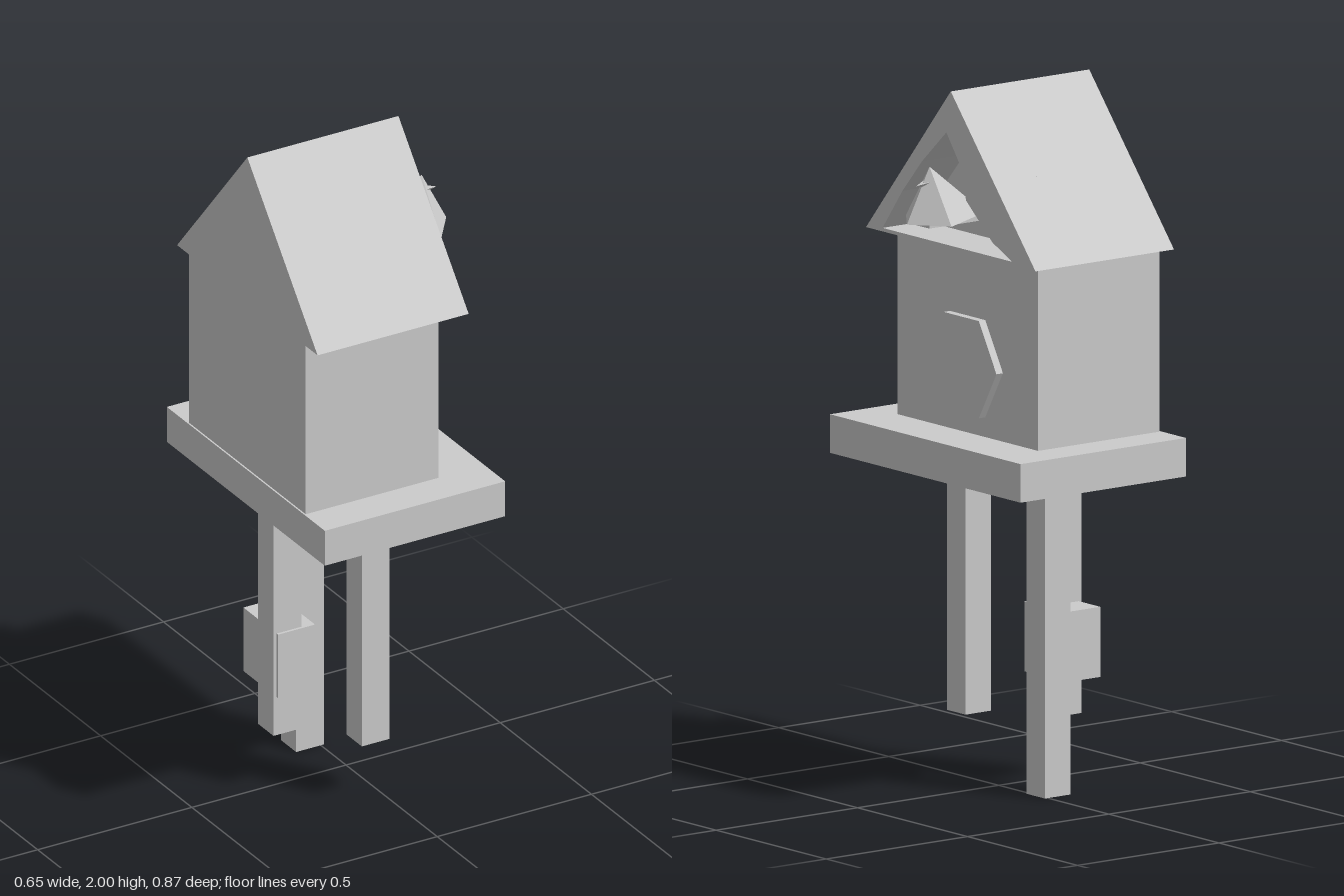
import * as THREE from 'three';
import { ConvexGeometry } from 'three/addons/geometries/ConvexGeometry.js';

const material = new THREE.MeshStandardMaterial({ color: 0xcccccc, flatShading: true, side: THREE.DoubleSide });

function add(parent, name, geometry) {
  const mesh = new THREE.Mesh(geometry, material);
  mesh.name = name;
  parent.add(mesh);
  return mesh;
}

// Box given by its extents on each axis
function box(parent, name, [x0, x1], [y0, y1], [z0, z1]) {
  const mesh = add(parent, name, new THREE.BoxGeometry(x1 - x0, y1 - y0, z1 - z0));
  mesh.position.set((x0 + x1) / 2, (y0 + y1) / 2, (z0 + z1) / 2);
}

// Profile drawn as seen from +x (horizontal = -z), extruded from x0 to x1
function gable(parent, name, outline, x0, x1, hole) {
  const toPoints = (list) => list.map(([s, y]) => new THREE.Vector2(s, y));
  const shape = new THREE.Shape(toPoints(outline));
  if (hole) shape.holes.push(new THREE.Path(toPoints(hole)));
  const geometry = new THREE.ExtrudeGeometry(shape, { depth: x1 - x0, bevelEnabled: false });
  geometry.rotateY(Math.PI / 2).translate(x0, 0, 0);
  add(parent, name, geometry);
}

const solid = (points) => new ConvexGeometry(points.map((p) => new THREE.Vector3(...p)));

export function createModel() {
  const model = new THREE.Group();
  model.name = 'cuckooClock';

  // Base slab and house body
  box(model, 'base', [-0.325, 0.26], [0.91, 1.02], [-0.433, 0.433]);
  box(model, 'body', [-0.32, 0.11], [1.02, 1.55], [-0.32, 0.32]);

  // Roof with a ragged opening in its gable
  const roof = new THREE.Group();
  roof.name = 'roof';
  model.add(roof);
  const triangle = [[-0.385, 1.55], [0.385, 1.55], [0, 2]];
  const opening = [
    [-0.31, 1.56], [-0.22, 1.68], [-0.13, 1.78], [-0.02, 1.88],
    [0.04, 1.8], [0.07, 1.7], [0.19, 1.6], [0.28, 1.56],
  ];
  gable(roof, 'roofBack', triangle, -0.32, 0.02);
  gable(roof, 'roofFront', triangle, 0.02, 0.17, opening);

  // Hexagonal clock face
  const dial = add(model, 'dial', new THREE.CylinderGeometry(0.16, 0.16, 0.04, 6));
  dial.rotation.z = -Math.PI / 2;
  dial.position.set(0.113, 1.215, 0);

  // Hanging weights and the block between them
  const rods = [[-0.035, 0.18, 0.18], [-0.215, 0, 0.18], [-0.035, -0.18, 0]];
  for (const [x, z, bottom] of rods) {
    box(model, 'hangingRod', [x - 0.045, x + 0.045], [bottom, 0.92], [z - 0.042, z + 0.042]);
  }
  box(model, 'pendulumBlock', [-0.25, -0.13], [0.3, 0.5], [-0.14, 0.05]);

  // Bird: faceted head, perch and small beak
  const bird = new THREE.Group();
  bird.name = 'bird';
  model.add(bird);
  add(bird, 'birdHead', solid([
    [0.05, 1.64, 0], [0.325, 1.64, 0], [0.245, 1.795, 0],
    [0.245, 1.64, 0.107], [0.245, 1.64, -0.1],
  ]));
  box(bird, 'perch', [0.02, 0.265], [1.625, 1.645], [-0.025, 0.042]);
  add(bird, 'beak', solid([
    [0.25, 1.755, 0.018], [0.25, 1.755, -0.018], [0.25, 1.735, 0], [0.293, 1.745, 0],
  ]));

  return model;
}
